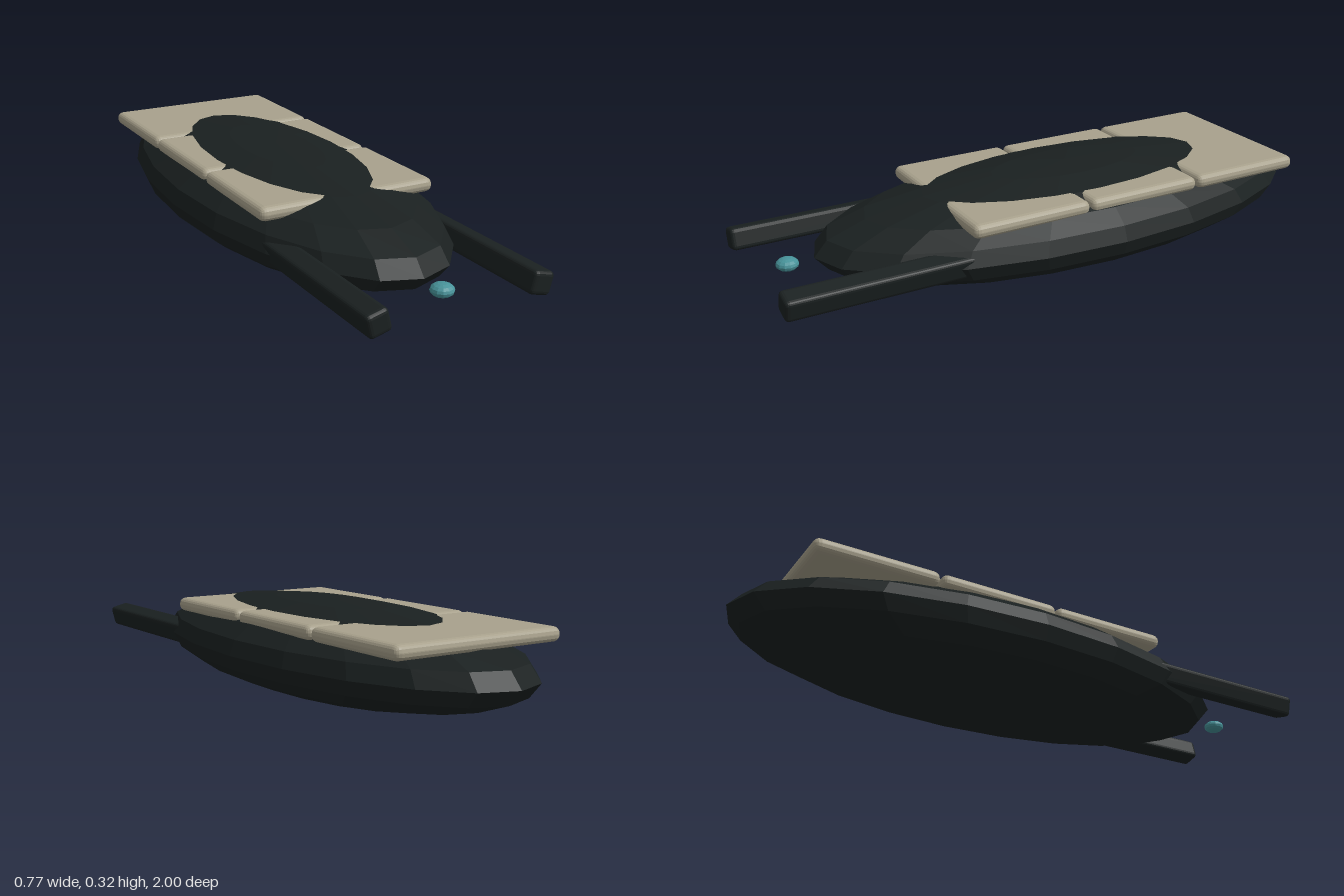
import * as THREE from 'three';
import { RoundedBoxGeometry } from 'three/addons/geometries/RoundedBoxGeometry.js';

const material = (color) => new THREE.MeshStandardMaterial({ color, flatShading: true });

export function createModel() {
  const model = new THREE.Group();
  model.name = 'armouredHull';
  const dark = material(0x1a2020);
  const tan = material(0xa8a18c);
  const teal = material(0x479299);

  const add = (name, geometry, mat, x, y, z) => {
    const mesh = new THREE.Mesh(geometry, mat);
    mesh.name = name;
    mesh.position.set(x, y, z);
    model.add(mesh);
    return mesh;
  };
  const ellipsoid = (rx, ry, rz, w, h) => new THREE.SphereGeometry(1, w, h).scale(rx, ry, rz);

  // Long flattened hull
  add('hull', ellipsoid(0.387, 0.16, 0.905, 20, 10), dark, 0, 0.161, -0.095);

  // Three armour plates, the hull's crown rising through them
  ['frontPlate', 'middlePlate', 'rearPlate'].forEach((name, i) => {
    const plate = new RoundedBoxGeometry(0.622, 0.047, 0.414, 2, 0.022);
    add(name, plate, tan, 0, 0.268, 0.2 - 0.42 * i);
  });

  // Pair of prongs reaching forward, each rolled about its length
  for (const side of [1, -1]) {
    const prong = new RoundedBoxGeometry(0.073, 0.073, 0.74, 2, 0.014);
    const mesh = add(side > 0 ? 'leftProng' : 'rightProng', prong, dark, side * 0.269, 0.163, 0.63);
    mesh.rotation.z = -side * 0.25;
  }

  // Small sensor bead floating ahead of the nose
  add('sensor', ellipsoid(0.036, 0.021, 0.036, 12, 8), teal, 0, 0.162, 0.895);

  return model;
}
